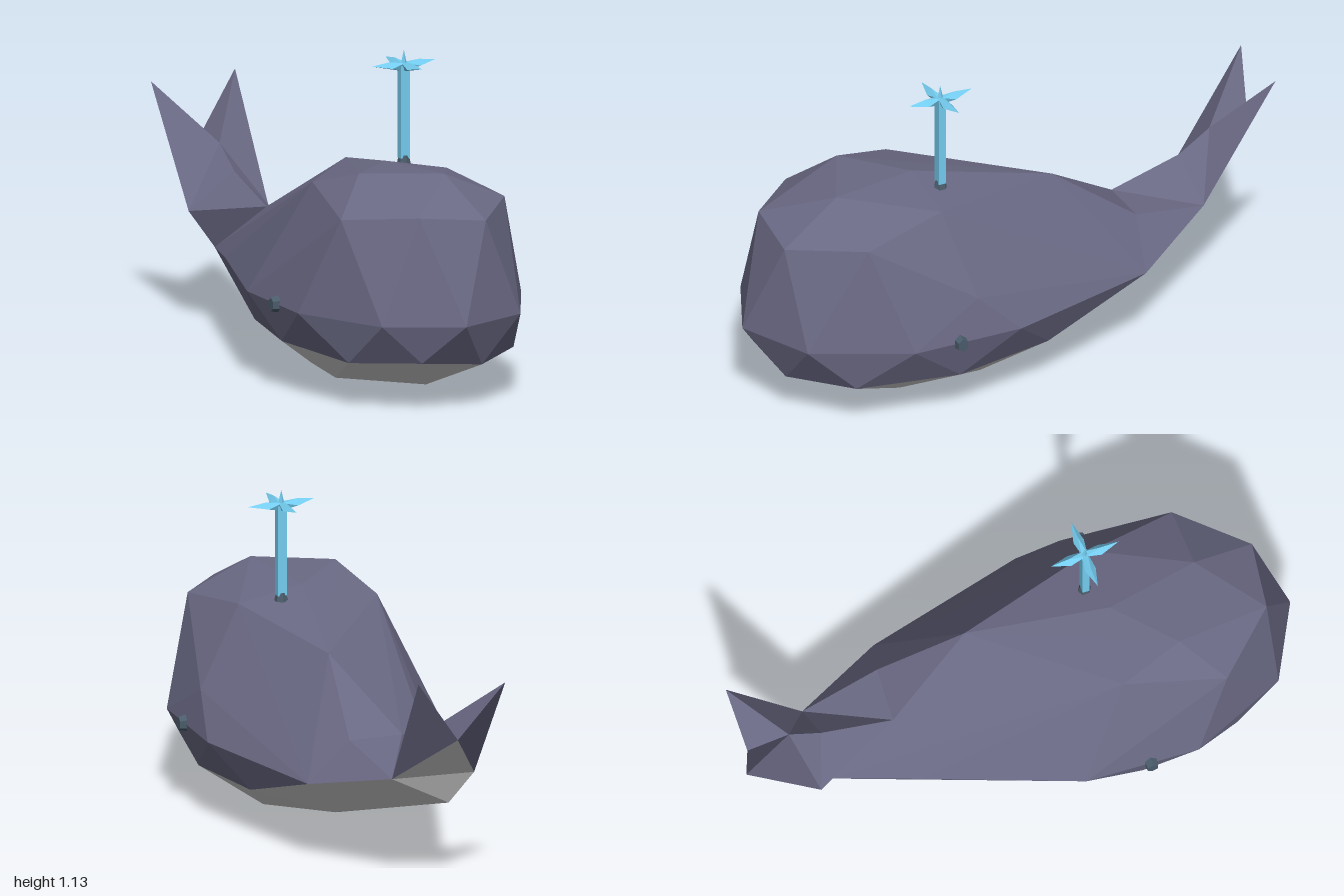
import * as THREE from 'three';
import { ConvexGeometry } from 'three/addons/geometries/ConvexGeometry.js';

const mat = (color, side = THREE.FrontSide) => new THREE.MeshStandardMaterial({ color, flatShading: true, side });
const SKIN = 0x6a6984, BELLY = 0xcccccc, WATER = 0x74cdf0, DARK = 0x4a5c6a;

const v = (x, y, z) => new THREE.Vector3(x, y, z);
const pair = (x, y, z) => [v(x, y, z), v(-x, y, z)];

// Points shared by the body and the tail
const T = {
  saddle: v(-0.07, 0.46, -0.43), shoulder: v(0.12, 0.46, -0.43), flank: v(0.26, 0.31, -0.4),
  keel: v(-0.15, 0.28, -0.67), ridge: v(-0.07, 0.535, -0.685),
  centre: v(-0.07, 0.61, -0.8), notch: v(-0.08, 0.595, -0.95),
  baseL: v(0.07, 0.4, -0.71), baseR: v(-0.22, 0.4, -0.73),
  tipL: v(0.074, 0.82, -0.98), tipR: v(-0.233, 0.8, -1),
};

function triangles(points) {
  const g = new THREE.BufferGeometry().setFromPoints(points);
  g.computeVertexNormals();
  return g;
}

export function createModel() {
  const model = new THREE.Group();
  const add = (name, geometry, material, parent = model) => {
    const mesh = new THREE.Mesh(geometry, material);
    mesh.name = name;
    parent.add(mesh);
    return mesh;
  };

  // Body: a faceted hull through rings of points
  const hull = new ConvexGeometry([
    // crown
    v(-0.19, 0.775, 0.55), v(0.07, 0.775, 0.68), v(0, 0.765, 0.36),
    v(0.23, 0.72, 0.36), v(-0.26, 0.71, 0.33), v(0.085, 0.675, -0.13),
    // brow
    v(-0.12, 0.675, 0.88), v(0.12, 0.65, 0.9), v(-0.32, 0.65, 0.68), v(0.3, 0.675, 0.67),
    // widest line
    v(0, 0.31, 1), ...pair(0.26, 0.31, 0.88), ...pair(0.42, 0.31, 0.55), ...pair(0.42, 0.31, 0.15),
    v(0.39, 0.45, 0.3), v(-0.25, 0.31, -0.38),
    // jaw line
    v(-0.12, 0.175, 0.9), v(0.11, 0.15, 0.89), ...pair(0.31, 0.16, 0.72),
    v(-0.39, 0.175, 0.36), v(0.375, 0.16, 0.36), ...pair(0.32, 0.175, 0),
    // underside
    v(0, 0.05, 0.68), v(-0.23, 0.05, 0.45), v(0.19, 0.05, 0.5), ...pair(0.2, 0.05, 0.2),
    v(0, 0.05, 0.03), v(0, 0, 0.36), ...pair(0.12, 0.15, -0.25),
    // tail root
    T.saddle, T.shoulder, T.flank, T.keel,
  ]);

  // Split the hull along the jaw line, which climbs towards the tail
  const upper = [], lower = [];
  const pos = hull.attributes.position;
  const isLow = (p) => p.y <= 0.185 + Math.max(0, -p.z) * 0.32;
  for (let i = 0; i < pos.count; i += 3) {
    const tri = [0, 1, 2].map((k) => new THREE.Vector3().fromBufferAttribute(pos, i + k));
    (tri.every(isLow) ? lower : upper).push(...tri);
  }
  add('body', triangles(upper), mat(SKIN));
  add('belly', triangles(lower), mat(BELLY));

  // Tail: stock behind the saddle, then two upright flukes around a notch
  const { saddle, shoulder, flank, keel, ridge, centre, notch, baseL, baseR, tipL, tipR } = T;
  add('tailStock', triangles([
    saddle, shoulder, baseL, shoulder, flank, baseL,
    saddle, baseL, ridge, saddle, ridge, baseR, saddle, baseR, keel,
  ]), mat(SKIN, THREE.DoubleSide));
  add('tailFlukes', triangles([
    ridge, baseL, centre, centre, baseL, tipL, centre, tipL, notch, baseL, notch, tipL,
    ridge, centre, baseR, centre, tipR, baseR, centre, notch, tipR, baseR, tipR, notch,
  ]), mat(SKIN, THREE.DoubleSide));
  add('tailUnderside', triangles([
    baseL, baseR, notch, baseL, keel, baseR, flank, keel, baseL,
  ]), mat(BELLY, THREE.DoubleSide));

  // Eyes: tall six-sided studs
  const eyeShape = new THREE.CylinderGeometry(0.024, 0.033, 0.045, 6).rotateY(Math.PI / 6).scale(1, 1, 0.85);
  for (const s of [1, -1]) {
    const eye = add(s > 0 ? 'leftEye' : 'rightEye', eyeShape, mat(DARK));
    eye.rotation.z = -s * Math.PI / 2;
    eye.position.set(s * 0.418, 0.31, 0.38);
  }

  // Water spout with four leaf-like sprays and a small upward jet
  const spout = new THREE.Group();
  spout.name = 'spout';
  spout.position.set(0.098, 0, 0.3);
  model.add(spout);
  add('blowhole', new THREE.CylinderGeometry(0.017, 0.024, 0.03, 6), mat(DARK), spout).position.y = 0.75;
  add('waterColumn', new THREE.BoxGeometry(0.034, 0.32, 0.026), mat(WATER), spout).position.y = 0.915;
  add('waterJet', new THREE.ConeGeometry(0.014, 0.06, 4), mat(WATER), spout).position.y = 1.1;
  const leaf = new ConvexGeometry([
    v(0, 1.055, 0), v(0, 1.085, 0.01), v(0, 1.085, -0.01),
    v(0.055, 1.072, 0.019), v(0.055, 1.072, -0.019), v(0.06, 1.092, 0), v(0.124, 1.084, 0),
  ]);
  for (let i = 0; i < 4; i++) {
    add('waterSpray', leaf, mat(WATER), spout).rotation.y = i * Math.PI / 2 + 0.08;
  }
  return model;
}
